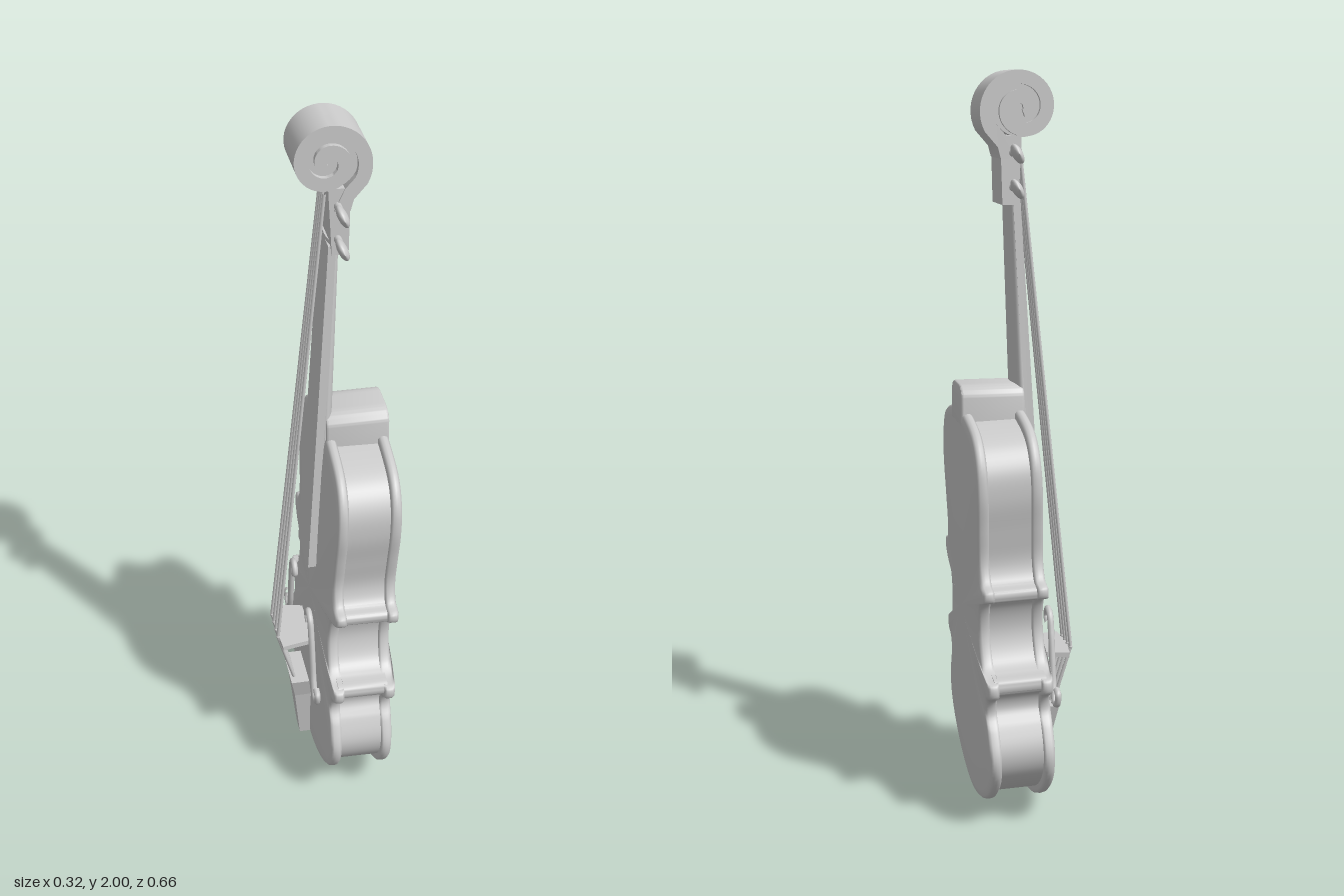
import * as THREE from 'three';
import { toCreasedNormals } from 'three/addons/utils/BufferGeometryUtils.js';

const grey = new THREE.MeshStandardMaterial({ color: 0xcccccc });
const MID = 0.55; // height of the body centre

// Half outline of the body: [half width, height], bottom to top
const HALF = [
  [0.13, 0.028], [0.25, 0.085], [0.315, 0.15], [0.33, 0.21], [0.305, 0.28], [0.278, 0.325],
  [0.29, 0.365], [0.326, 0.385], [0.327, 0.418], [0.28, 0.43], [0.245, 0.455], [0.218, 0.53],
  [0.232, 0.6], [0.26, 0.632], [0.308, 0.642], [0.31, 0.668], [0.272, 0.682], [0.252, 0.73],
  [0.262, 0.82], [0.278, 0.92], [0.27, 1.0], [0.225, 1.06], [0.12, 1.095],
];

function bodyOutline() {
  const right = HALF.map(([u, y]) => new THREE.Vector3(u, y, 0));
  const left = HALF.map(([u, y]) => new THREE.Vector3(-u, y, 0)).reverse();
  const pts = [new THREE.Vector3(0, 0.006, 0), ...right, new THREE.Vector3(0, 1.107, 0), ...left];
  return new THREE.CatmullRomCurve3(pts, true, 'centripetal').getPoints(240).slice(0, -1);
}

// Arched plate: rings of the outline shrink towards the centre while rising
function plateGeometry(outline) {
  const profile = [[0.94, 0], [0.985, 0], [0.998, 0.006], [1, 0.014], [0.997, 0.022], [0.985, 0.028],
    [0.95, 0.031], [0.8, 0.035], [0.5, 0.039], [0.25, 0.041], [0, 0.042]];
  const n = outline.length, pos = [], idx = [];
  for (const [s, h] of profile) for (const p of outline) pos.push(p.x * s, MID + (p.y - MID) * s, h);
  for (let i = 0; i < profile.length - 1; i++) {
    for (let j = 0; j < n; j++) {
      const a = i * n + j, b = i * n + (j + 1) % n;
      idx.push(a, b, a + n, b, b + n, a + n);
    }
  }
  const g = new THREE.BufferGeometry();
  g.setAttribute('position', new THREE.Float32BufferAttribute(pos, 3));
  g.setIndex(idx);
  g.computeVertexNormals();
  return g;
}

// Fits a unit geometry (x, z in -1..1, y in -0.5..0.5) between two ends {y, half, back, front}
function taper(geo, lo, hi) {
  const p = geo.attributes.position;
  for (let i = 0; i < p.count; i++) {
    const t = p.getY(i) + 0.5, mix = (k) => THREE.MathUtils.lerp(lo[k], hi[k], t);
    p.setXYZ(i, p.getX(i) * mix('half'), mix('y'), THREE.MathUtils.lerp(mix('back'), mix('front'), (p.getZ(i) + 1) / 2));
  }
  geo.computeVertexNormals();
  return geo;
}
const box = () => new THREE.BoxGeometry(2, 1, 2);
const end = (y, half, back, front) => ({ y, half, back, front });

function extrude(shape, depth, bevel = 0) {
  const g = new THREE.ExtrudeGeometry(shape, {
    depth: depth - 2 * bevel, bevelEnabled: bevel > 0, bevelSize: bevel, bevelThickness: bevel,
    bevelOffset: -bevel, bevelSegments: 3, curveSegments: 16,
  });
  g.translate(0, 0, bevel);
  return toCreasedNormals(g, 0.6);
}

const polygon = (pts) => new THREE.Shape(pts.map(([x, y]) => new THREE.Vector2(x, y)));

function rod(a, b, r) {
  return new THREE.TubeGeometry(new THREE.LineCurve3(new THREE.Vector3(...a), new THREE.Vector3(...b)), 1, r, 8);
}

export function createModel() {
  const model = new THREE.Group();
  model.name = 'violin';
  // Built facing local +z, then turned to face -x
  const violin = new THREE.Group();
  violin.name = 'instrument';
  violin.rotation.y = -Math.PI / 2;
  model.add(violin);
  const add = (name, geo, parent = violin) => {
    const m = new THREE.Mesh(geo, grey);
    m.name = name;
    parent.add(m);
    return m;
  };

  // Body: slightly leaning back
  const body = new THREE.Group();
  body.name = 'body';
  body.rotation.x = -0.035;
  violin.add(body);
  const outline = bodyOutline();
  const plate = plateGeometry(outline);
  add('frontPlate', plate, body).position.z = 0.03;
  const back = add('backPlate', plate, body);
  back.rotation.y = Math.PI;
  back.position.z = -0.085;
  const ribs = polygon(outline.map((p) => [p.x * 0.96, MID + (p.y - MID) * 0.96]));
  add('ribs', extrude(ribs, 0.14), body).position.z = -0.095;

  // Raised sound holes
  for (const s of [1, -1]) {
    const path = [[0.115, 0.515], [0.095, 0.53], [0.11, 0.555], [0.138, 0.545], [0.155, 0.5], [0.17, 0.43],
      [0.185, 0.36], [0.208, 0.318], [0.238, 0.325], [0.245, 0.352], [0.225, 0.36]];
    const curve = new THREE.CatmullRomCurve3(path.map(([u, y]) => new THREE.Vector3(s * u, y, 0.077)));
    add('soundHole', new THREE.TubeGeometry(curve, 60, 0.009, 8));
  }

  // Heel with rounded upper corners
  const heel = new THREE.Shape();
  heel.moveTo(-0.08, 1.06);
  heel.lineTo(0.08, 1.06);
  heel.lineTo(0.08, 1.14);
  heel.quadraticCurveTo(0.075, 1.172, 0.03, 1.172);
  heel.lineTo(-0.03, 1.172);
  heel.quadraticCurveTo(-0.075, 1.172, -0.08, 1.14);
  add('heel', extrude(heel, 0.172, 0.006)).position.z = -0.154;

  // Neck and fingerboard
  add('neck', taper(new THREE.CylinderGeometry(1, 1, 1, 32), end(1.08, 0.07, -0.005, 0.045), end(1.68, 0.058, -0.025, 0.01)));
  add('fingerboard', taper(box(), end(0.68, 0.075, 0.042, 0.07), end(1.67, 0.06, -0.01, 0.01)));
  add('pegBox', taper(box(), end(1.65, 0.07, -0.04, 0.003), end(1.83, 0.068, -0.045, 0.012)));

  // Scroll: spiral band round a narrower core, drawn in the x-y plane
  const cx = -0.012, cy = 1.9, outer = [], inner = [];
  for (let i = 0; i <= 80; i++) {
    const t = -0.55 + (i / 80) * 11.2;
    const r = 0.111 - 0.0082 * t, q = Math.max(r - 0.036, 0.004);
    outer.push([cx + r * Math.cos(t), cy + r * Math.sin(t)]);
    inner.push([cx + q * Math.cos(t), cy + q * Math.sin(t)]);
  }
  const band = polygon([[0.002, 1.77], [0.044, 1.77], [0.052, 1.8], ...outer, ...inner.reverse(), [0.03, 1.83]]);
  const scroll = new THREE.Group();
  scroll.name = 'scroll';
  scroll.rotation.y = Math.PI / 2;
  violin.add(scroll);
  add('scrollBand', extrude(band, 0.142), scroll).position.z = -0.07;
  const core = add('scrollCore', new THREE.CylinderGeometry(0.08, 0.08, 0.115, 40), scroll);
  core.rotation.x = Math.PI / 2;
  core.position.set(-0.012, 1.905, 0);

  // Tuning pegs: a shaft and a flattened, tilted thumb piece
  const thumb = [[0, 0], [0.018, 0], [0.025, 0.008], [0.028, 0.025], [0.026, 0.042], [0.018, 0.054], [0, 0.06]];
  const thumbGeo = new THREE.LatheGeometry(thumb.map(([r, h]) => new THREE.Vector2(r, h)), 24);
  thumbGeo.scale(1, 1, 0.45);
  thumbGeo.rotateY(0.45);
  for (const y of [1.785, 1.695]) {
    for (const s of [1, -1]) {
      const peg = new THREE.Group();
      peg.name = 'tuningPeg';
      peg.position.set(0, y, -0.012);
      peg.rotation.z = -s * Math.PI / 2;
      violin.add(peg);
      add('pegShaft', new THREE.CylinderGeometry(0.01, 0.01, 0.12, 12), peg).position.y = 0.06;
      add('pegHead', thumbGeo, peg).position.y = 0.103;
    }
  }

  // Bridge: thin plate, wider at the strings
  add('bridge', taper(box(), end(0.403, 1, 0, 1), end(0.418, 1, 0, 1))).visible = true;
  const bridge = violin.children[violin.children.length - 1];
  bridge.geometry = extrude(polygon([[-0.08, 0.06], [0.08, 0.06], [0.096, 0.148], [0, 0.156], [-0.1, 0.142]]), 0.014);
  bridge.geometry.rotateX(Math.PI / 2);
  bridge.position.y = 0.42;

  // Tailpiece: broad thick head and slim tail
  add('tailpieceHead', taper(box(), end(0.19, 0.052, 0.06, 0.108), end(0.255, 0.07, 0.068, 0.12)));
  add('tailpieceTail', taper(box(), end(0.02, 0.026, 0.05, 0.09), end(0.19, 0.052, 0.06, 0.108)));

  // Strings: nut to bridge to tailpiece
  [-0.055, -0.02, 0.015, 0.05].forEach((u) => {
    const top = [u * 0.55, 1.8, 0.014], mid = [u, 0.422, 0.155], low = [u * 0.75, 0.245, 0.105];
    add('string', rod(top, mid, 0.005));
    add('stringEnd', rod(mid, low, 0.005));
    add('stringSaddle', new THREE.SphereGeometry(0.006, 10, 8)).position.set(...mid);
  });
  return model;
}
